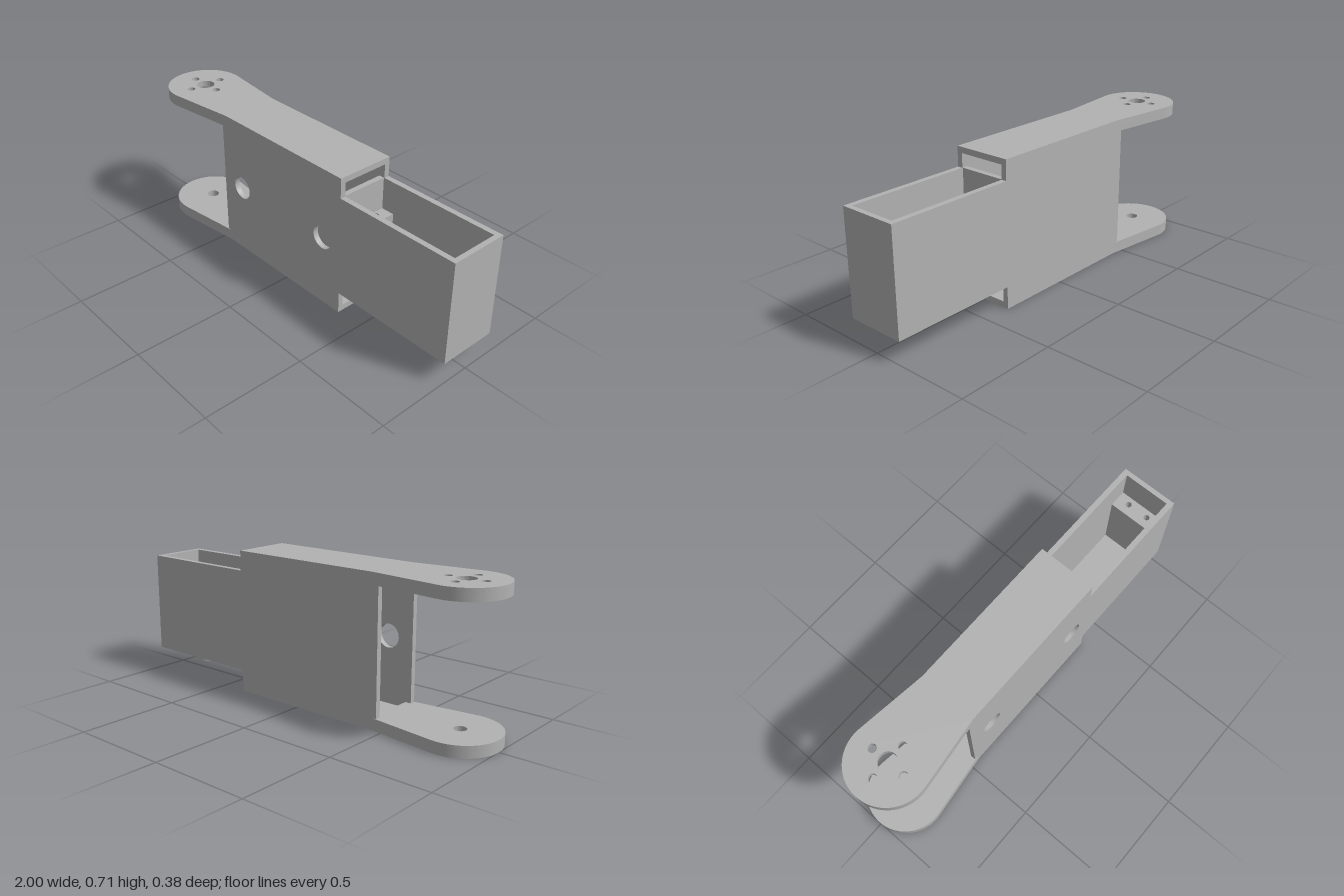
import * as THREE from 'three';
import { toCreasedNormals } from 'three/addons/utils/BufferGeometryUtils.js';

const PIVOT = -0.81; // x of the fork axis
const HALF = 0.147;  // half width of the body
const INNER = 0.12;  // half width of the hollow

export function createModel() {
  const group = new THREE.Group();
  const grey = new THREE.MeshStandardMaterial({ color: 0xb2b2b2 });
  grey.name = 'plain grey';

  const add = (name, geometry) => {
    const mesh = new THREE.Mesh(geometry, grey);
    mesh.name = name;
    group.add(mesh);
    return mesh;
  };
  const polygon = (points) => new THREE.Shape(points.map(([x, y]) => new THREE.Vector2(x, y)));
  const drill = (shape, holes) => {
    for (const [x, y, r] of holes) {
      shape.holes.push(new THREE.Path().absarc(x, y, r, 0, Math.PI * 2, true));
    }
    return shape;
  };
  const extrude = (shape, depth) => toCreasedNormals(
    new THREE.ExtrudeGeometry(shape, { depth, bevelEnabled: false, curveSegments: 32 }), 0.5);
  // Flat plate seen from above, reaching from y0 to y1
  const slab = (name, shape, y0, y1) =>
    add(name, extrude(shape, y1 - y0).rotateX(-Math.PI / 2).translate(0, y0, 0));
  const box = (name, x0, x1, y0, y1, z) =>
    add(name, new THREE.BoxGeometry(x1 - x0, y1 - y0, 2 * z)
      .translate((x0 + x1) / 2, (y0 + y1) / 2, 0));

  // Paddle outline: round end, taper, then straight sides up to the given end
  const paddle = (end) => {
    const s = new THREE.Shape();
    s.moveTo(end, -HALF);
    if (end > -0.44) s.lineTo(end, HALF);
    s.lineTo(-0.44, HALF);
    const a = 1.45; // tangent angle of the taper
    s.absarc(PIVOT, 0, 0.191, a, Math.PI * 2 - a, false);
    s.lineTo(-0.44, -HALF);
    s.closePath();
    return s;
  };

  // Upper fork arm: horn pattern, with a round recess underneath
  const hornHoles = [[PIVOT, 0, 0.045]];
  for (let i = 0; i < 4; i++) {
    const a = i * Math.PI / 2;
    hornHoles.push([PIVOT + 0.09 * Math.cos(a), 0.09 * Math.sin(a), 0.02]);
  }
  slab('upperPlate', drill(paddle(0.365), hornHoles), 0.686, 0.715);
  slab('upperArmPad', drill(paddle(-0.44), [[PIVOT, 0, 0.162]]), 0.658, 0.686);

  // Lower fork arm: a single pivot hole
  const pivotHole = [[PIVOT, 0, 0.031]];
  slab('lowerPlate', drill(paddle(0.365), pivotHole), 0, 0.029);
  slab('lowerArmPad', drill(paddle(-0.44), pivotHole), 0.029, 0.057);

  // Side walls, the front one with two cable holes
  const wall = () => polygon([
    [-0.47, 0.029], [0.365, 0.029], [0.365, 0.11], [1, 0.11],
    [1, 0.617], [0.365, 0.617], [0.365, 0.686], [-0.47, 0.686],
  ]);
  const cableHoles = [[-0.335, 0.36, 0.058], [0.25, 0.36, 0.058]];
  add('frontWall', extrude(drill(wall(), cableHoles), HALF - INNER)).position.z = INNER;
  add('backWall', extrude(wall(), HALF - INNER)).position.z = -HALF;

  // Motor pocket: floor, end wall, partition and two screw ledges
  box('pocketFloor', 0.335, 0.975, 0.11, 0.137, INNER);
  box('endWall', 0.975, 1, 0.11, 0.617, INNER);
  box('partition', 0.335, 0.362, 0.137, 0.617, INNER);
  for (const [x0, x1, hx] of [[0.362, 0.43, 0.382], [0.885, 0.975, 0.938]]) {
    const ledge = polygon([[x0, -INNER], [x1, -INNER], [x1, INNER], [x0, INNER]]);
    slab('screwLedge', drill(ledge, [[hx, 0.056, 0.015], [hx, -0.056, 0.015]]), 0.137, 0.457);
  }

  // Pivot boss below the pocket, with a blind hole
  const disc = new THREE.Shape().absarc(0.77, 0, 0.078, 0, Math.PI * 2, false);
  slab('pivotBoss', drill(disc, [[0.77, 0, 0.031]]), 0.064, 0.11);

  return group;
}
